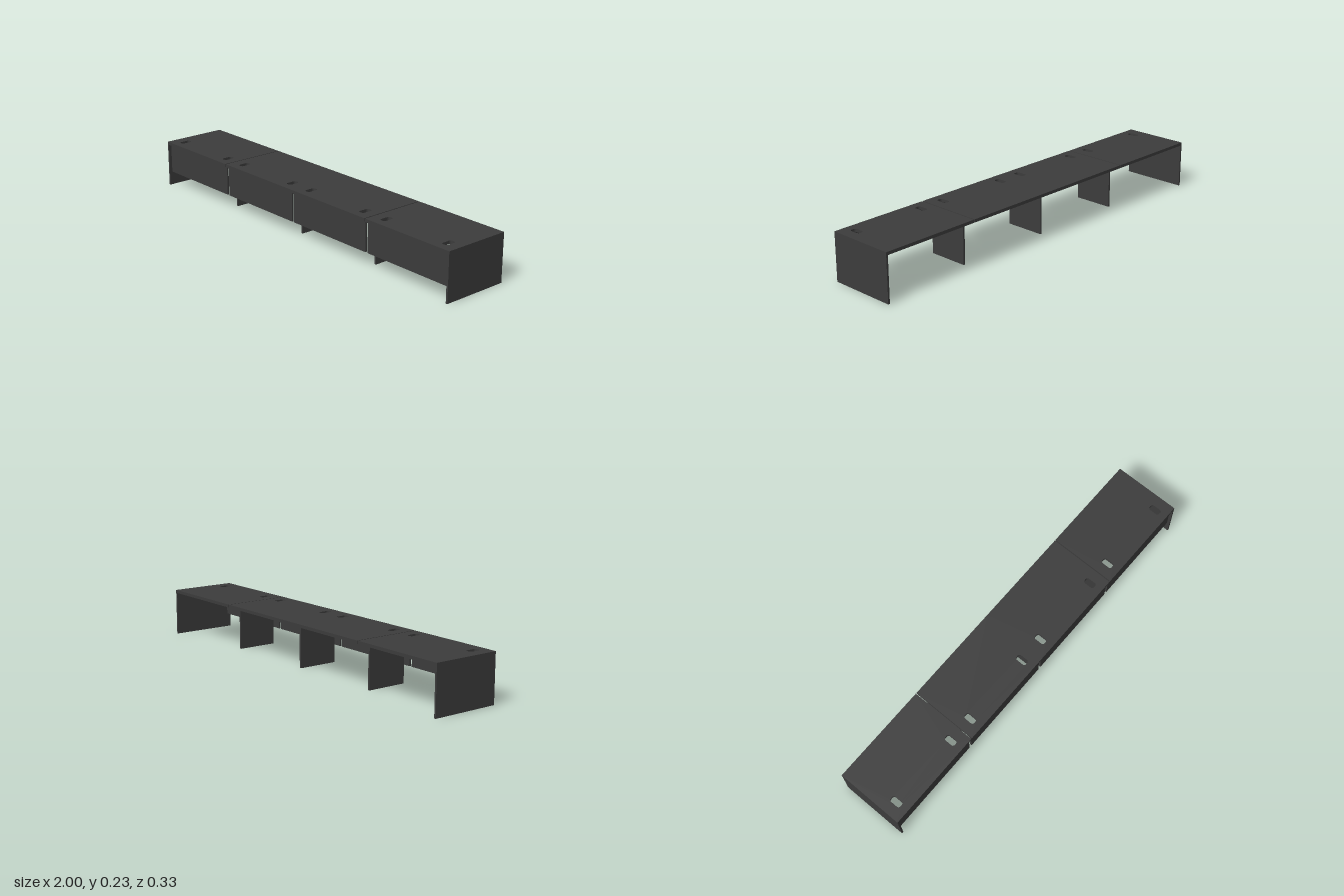
import * as THREE from 'three';

const HEIGHT = 0.233, DEPTH = 0.333, TOP = 0.015, PANEL = 0.009;

export function createModel() {
  const group = new THREE.Group();
  const material = new THREE.MeshStandardMaterial({ color: 0x3c3c3c });

  const add = (name, geometry, x, y, z) => {
    const mesh = new THREE.Mesh(geometry, material);
    mesh.name = name;
    mesh.position.set(x, y, z);
    group.add(mesh);
  };

  // Rounded cable slot cut through a desktop
  const slot = (x, y, w, h, r) => {
    const p = new THREE.Path();
    p.moveTo(x - w / 2, y - h / 2 + r);
    p.lineTo(x - w / 2, y + h / 2 - r);
    p.absarc(x - w / 2 + r, y + h / 2 - r, r, Math.PI, Math.PI / 2, true);
    p.absarc(x + w / 2 - r, y + h / 2 - r, r, Math.PI / 2, 0, true);
    p.absarc(x + w / 2 - r, y - h / 2 + r, r, 0, -Math.PI / 2, true);
    p.absarc(x - w / 2 + r, y - h / 2 + r, r, -Math.PI / 2, -Math.PI, true);
    return p;
  };

  // Desktop between two x positions, with a slot near each front corner
  const desktop = (x0, x1, center) => {
    const s = new THREE.Shape();
    s.moveTo(x0, -DEPTH / 2);
    s.lineTo(x1, -DEPTH / 2);
    s.lineTo(x1, DEPTH / 2);
    s.lineTo(x0, DEPTH / 2);
    s.closePath();
    for (const side of [-1, 1]) s.holes.push(slot(center + side * 0.183, -0.1, 0.03, 0.056, 0.011));
    const g = new THREE.ExtrudeGeometry(s, { depth: TOP, bevelEnabled: false, curveSegments: 6 });
    return g.rotateX(-Math.PI / 2);
  };

  // Four desks in a row: a narrow seam separates the outer ones from the middle pair
  for (let i = 0; i < 4; i++) {
    const left = -1 + i * 0.5, right = left + 0.5, center = left + 0.25;
    const x0 = left === -0.5 || left === 0.5 ? left + 0.0025 : left;
    const x1 = right === -0.5 || right === 0.5 ? right - 0.0025 : right;
    add('desktop', desktop(x0, x1, center), 0, HEIGHT - TOP, 0);

    // Modesty panel set slightly back from the front edge
    const bottom = 0.07, top = HEIGHT - TOP - 0.002;
    const p0 = left + (i === 0 ? 0.011 : 0.007);
    const p1 = right - (i === 3 ? 0.011 : 0.007);
    add('modestyPanel', new THREE.BoxGeometry(p1 - p0, top - bottom, PANEL),
      (p0 + p1) / 2, (top + bottom) / 2, 0.149);
  }

  // Full-depth end panels and narrower shared legs
  const legHeight = HEIGHT - TOP;
  for (const side of [-1, 1]) {
    add('endPanel', new THREE.BoxGeometry(PANEL, legHeight, DEPTH), side * (1 - PANEL / 2), legHeight / 2, 0);
  }
  for (const x of [-0.5, 0, 0.5]) {
    add('sharedLeg', new THREE.BoxGeometry(PANEL, legHeight, 0.2), x, legHeight / 2, 0);
  }
  return group;
}
